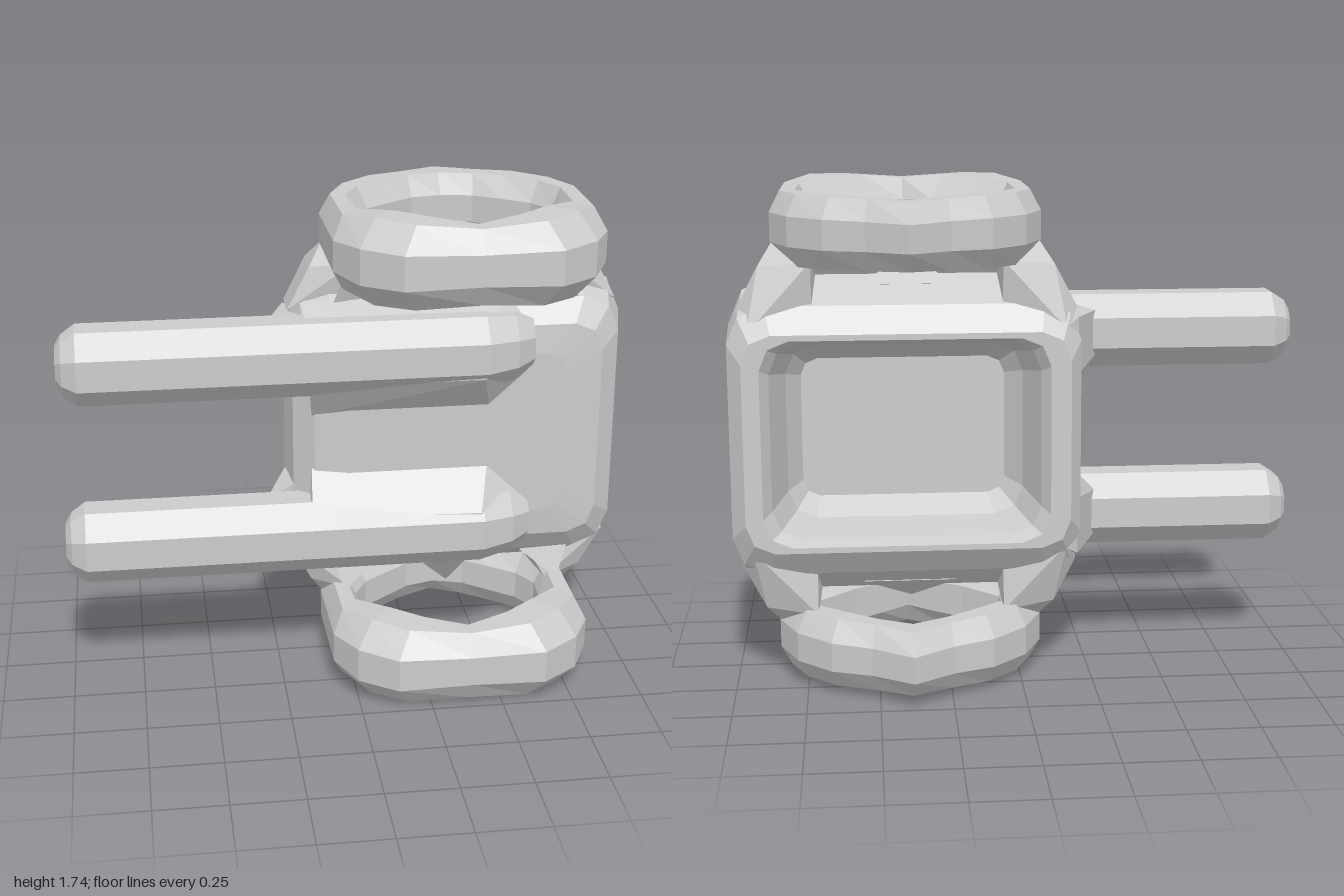
import * as THREE from 'three';
import { ConvexGeometry } from 'three/addons/geometries/ConvexGeometry.js';

const MID_Y = 0.88; // mirror plane between the two wheels
const MID_X = 0.385; // wheel axis
const mat = new THREE.MeshStandardMaterial({ color: 0xcccccc, flatShading: true });

function add(group, name, geometry) {
  const m = new THREE.Mesh(geometry, mat);
  m.name = name;
  group.add(m);
  return m;
}

// Skins equal-length loops of points; either wraps round or caps both ends
function skin(loops, wrap) {
  const n = loops[0].length, pos = [], idx = [];
  loops.forEach((l) => l.forEach((p) => pos.push(...p)));
  const rows = wrap ? loops.length : loops.length - 1;
  for (let k = 0; k < rows; k++) {
    const k2 = (k + 1) % loops.length;
    for (let i = 0; i < n; i++) {
      const j = (i + 1) % n;
      const a = k * n + i, b = k * n + j, c = k2 * n + i, d = k2 * n + j;
      idx.push(a, c, d, a, d, b);
    }
  }
  if (!wrap) {
    const last = (loops.length - 1) * n;
    for (let i = 1; i < n - 1; i++) {
      idx.push(0, i, i + 1, last, last + i + 1, last + i);
    }
  }
  const g = new THREE.BufferGeometry();
  g.setAttribute('position', new THREE.Float32BufferAttribute(pos, 3));
  g.setIndex(idx);
  g.computeVertexNormals();
  return g;
}

// Rounded rectangle in xy at depth z, three points per corner
function trayLoop([z, x0, x1, hy, r]) {
  const cx = (x0 + x1) / 2, hx = (x1 - x0) / 2, pts = [];
  for (let q = 0; q < 4; q++) {
    const sx = q === 0 || q === 3 ? 1 : -1, sy = q < 2 ? 1 : -1;
    for (let i = 0; i < 3; i++) {
      const a = (q + i / 2) * Math.PI / 2;
      pts.push([cx + sx * (hx - r) + r * Math.cos(a), MID_Y + sy * (hy - r) + r * Math.sin(a), z]);
    }
  }
  return pts;
}

// Irregular tyre: half outlines from the back round to the front
function wheelGeometry() {
  const outer = [[0, -0.52], [0.14, -0.42], [0.28, -0.36], [0.4, -0.24], [0.465, -0.08],
    [0.46, 0.28], [0.39, 0.42], [0.26, 0.515], [0, 0.515]];
  const inner = [[0, -0.29], [0.11, -0.26], [0.2, -0.19], [0.29, -0.12], [0.34, -0.03],
    [0.33, 0.11], [0.2, 0.22], [0.1, 0.29], [0, 0.36]];
  const height = [0.115, 0.12, 0.125, 0.125, 0.125, 0.13, 0.15, 0.145, 0.13];
  const loops = [];
  for (let k = 0; k < 8; k++) {
    const f = (k + 0.5) * Math.PI / 4, t = 0.5 - 0.54 * Math.cos(f);
    const loop = [];
    for (let i = 0; i < 16; i++) {
      const j = i <= 8 ? i : 16 - i, s = i <= 8 ? -1 : 1;
      loop.push([s * THREE.MathUtils.lerp(inner[j][0], outer[j][0], t), 1.06 * height[j] * Math.sin(f),
        THREE.MathUtils.lerp(inner[j][1], outer[j][1], t)]);
    }
    loops.push(loop);
  }
  return skin(loops, true);
}

// Octagonal shaft with blunt ends; each station is x, scale, z centre, rear limit
function shaftGeometry() {
  const stations = [[0.65, 0.7, 0.06, 0.05], [0.58, 0.9, 0.09, 0.05], [0.47, 1, 0.12, 0.06],
    [-0.08, 1, 0.12, 0.06], [-0.14, 1, 0.12, -1], [-0.93, 1, 0.12, -1], [-0.98, 0.75, 0.12, -1],
    [-1, 0.5, 0.12, -1]];
  return skin(stations.map(([x, s, z, rear]) => {
    const loop = [];
    for (let i = 0; i < 8; i++) {
      const a = (i + 0.5) * Math.PI / 4, r = 0.141 * s;
      loop.push([x, r * Math.cos(a), Math.max(rear, z + r * Math.sin(a))]);
    }
    return loop;
  }), false);
}

// Convex lump; each point is x, distance from the mirror plane, z
function lump(points, side, flipX) {
  return new ConvexGeometry(points.map(([x, h, z]) =>
    new THREE.Vector3(flipX ? 2 * MID_X - x : x, MID_Y + side * h, z)));
}

export function createModel() {
  const model = new THREE.Group();
  model.name = 'handCart';

  // Tray: outer shell from the front panel to the rim, then the hollow
  add(model, 'tray', skin([
    [0.12, 0, 0.78, 0.3, 0.08],
    [0.11, -0.12, 0.9, 0.4, 0.1],
    [0.05, -0.19, 0.97, 0.48, 0.13],
    [-0.07, -0.21, 1, 0.56, 0.17],
    [-0.2, -0.21, 1, 0.47, 0.13],
    [-0.265, -0.17, 0.95, 0.38, 0.1],
    [-0.265, -0.1, 0.89, 0.36, 0.1],
    [-0.22, -0.07, 0.86, 0.34, 0.1],
    [-0.05, -0.02, 0.81, 0.31, 0.1],
    [0.03, 0.04, 0.76, 0.25, 0.06],
  ].map(trayLoop), false));

  const wheel = wheelGeometry(), shaft = shaftGeometry();
  for (const side of [1, -1]) {
    const label = side > 0 ? 'upper' : 'lower';
    add(model, label + 'Wheel', wheel).position.set(MID_X, MID_Y + side * 0.725, 0);
    add(model, label + 'Shaft', shaft).position.y = MID_Y + side * 0.33;

    // Sloping fillet where the shaft merges into the front panel
    add(model, label + 'ShaftFillet', lump([
      [-0.13, 0.1, 0.105], [0.5, 0.1, 0.105], [-0.15, 0.5, 0.04], [0.56, 0.5, 0.04],
      [-0.14, 0.25, 0.21], [0.46, 0.25, 0.23], [-0.16, 0.39, 0.23], [0.46, 0.39, 0.24],
      [0.64, 0.22, 0.1], [0.66, 0.42, 0.07],
    ], side, false));

    // Gusset between the shaft and the tray's end
    add(model, label + 'ShaftGusset', lump([
      [-0.29, 0.25, 0.03], [-0.29, 0.41, 0.03], [-0.2, 0.22, -0.2], [-0.2, 0.42, -0.2],
      [-0.12, 0.13, 0.06], [-0.1, 0.46, 0.04], [-0.14, 0.38, -0.24], [-0.21, 0.16, -0.06],
    ], side, false));

    // Brackets joining the tray's corners to the wheel
    for (const flip of [false, true]) {
      add(model, label + 'WheelBracket', lump([
        [-0.2, 0.45, -0.15], [-0.2, 0.45, -0.02], [-0.16, 0.38, -0.23], [0.06, 0.46, -0.19],
        [0.08, 0.52, 0.02], [-0.12, 0.6, -0.17], [-0.12, 0.6, -0.03], [0.06, 0.62, -0.21],
        [0.02, 0.62, 0.03], [-0.07, 0.68, -0.08],
      ], side, flip));
      add(model, label + 'WheelSpur', lump([
        [-0.05, 0.48, 0.05], [0.12, 0.5, 0.03], [0.06, 0.52, -0.1], [-0.01, 0.6, 0.08],
      ], side, flip));
    }

    // Axle stub
    add(model, label + 'AxleStub', lump([
      [0.22, 0.53, -0.12], [0.55, 0.53, -0.12], [0.38, 0.48, 0.12], [0.38, 0.62, 0],
      [0.3, 0.56, -0.02],
    ], side, false));
  }
  return model;
}
